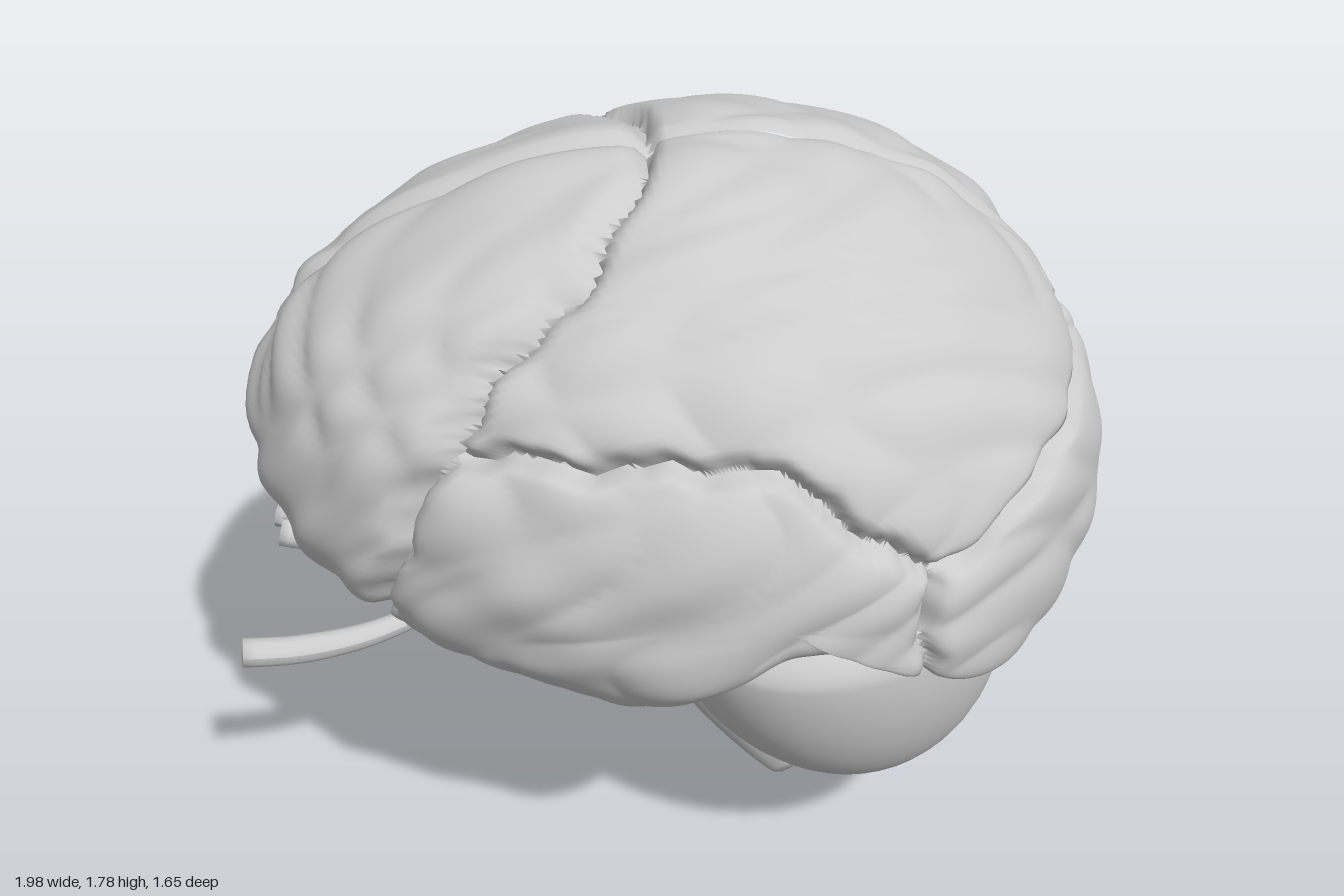
import * as THREE from 'three';
import { mergeVertices } from 'three/addons/utils/BufferGeometryUtils.js';

const grey = new THREE.MeshStandardMaterial({ color: 0xcccccc });
grey.name = 'grey';

// Local frame: +x is the back of the brain, +z its left side, MID the dividing plane.
const MID = 0.05, POLE_X = 0.2, POLE_Y = 1.04, HALF_WIDTH = 0.78;

// Side outline of a hemisphere, counterclockwise from the back
const OUTLINE = new THREE.CatmullRomCurve3([
  [0.97, 1.06], [0.92, 1.27], [0.79, 1.46], [0.6, 1.635], [0.36, 1.73], [0.1, 1.77], [-0.12, 1.745],
  [-0.4, 1.67], [-0.63, 1.56], [-0.83, 1.39], [-0.92, 1.17], [-0.88, 0.92], [-0.72, 0.78], [-0.45, 0.71],
  [-0.22, 0.66], [0.02, 0.74], [0.24, 0.87], [0.5, 0.84], [0.78, 0.71], [0.93, 0.83],
].map(([x, y]) => new THREE.Vector3(x, y, 0)), true);

// Furrows between the lobes, in side projection
const CENTRAL = [[0.01, 1.85], [-0.07, 1.73], [-0.26, 1.58], [-0.45, 1.38], [-0.55, 1.2], [-0.61, 1.0], [-0.65, 0.85], [-0.66, 0.6]];
const LATERAL = [[-0.47, 1.34], [-0.25, 1.35], [0.12, 1.37], [0.27, 1.3], [0.49, 1.12]];
const REAR_TOP = [[0.49, 1.12], [0.6, 1.155], [0.72, 1.215], [0.82, 1.28], [0.9, 1.34], [1.1, 1.4]];
const REAR_LOW = [[0.49, 1.12], [0.5, 0.95], [0.48, 0.6]];
const FURROWS = [CENTRAL, LATERAL, REAR_TOP, REAR_LOW];

// Value along a polyline: key axis k, result on the other axis
function along(line, value, k) {
  for (let i = 1; i < line.length; i++) {
    const a = line[i - 1], b = line[i];
    if ((value - a[k]) * (value - b[k]) <= 0) {
      return a[1 - k] + (b[1 - k] - a[1 - k]) * (value - a[k]) / (b[k] - a[k]);
    }
  }
  return line[line.length - 1][1 - k];
}

function furrowDistance(x, y) {
  let best = 9;
  for (const line of FURROWS) {
    for (let i = 1; i < line.length; i++) {
      const [ax, ay] = line[i - 1], dx = line[i][0] - ax, dy = line[i][1] - ay;
      const t = THREE.MathUtils.clamp(((x - ax) * dx + (y - ay) * dy) / (dx * dx + dy * dy), 0, 1);
      best = Math.min(best, Math.hypot(x - ax - t * dx, y - ay - t * dy));
    }
  }
  return best;
}

function lobeAt(x, y) {
  if (x < along(CENTRAL, y, 1)) return 'frontalLobe';
  if (x > along(REAR_LOW, y, 1) && x > 0.47 && y < along(REAR_TOP, Math.max(x, 0.49), 0)) return 'occipitalLobe';
  if (x < 0.49 && y < along(LATERAL, Math.max(x, -0.47), 0)) return 'temporalLobe';
  return 'parietalLobe';
}

// Soft wavy relief of the folds
function folds(x, y, z) {
  const soft = Math.sin(9 * x + 2 * Math.sin(6 * y)) * Math.sin(10 * y + 7 * z + Math.sin(8 * x));
  const ridge = Math.abs(Math.sin(11 * x + 8 * z + 2 * Math.sin(9 * y))) * Math.abs(Math.sin(13 * y - 6 * x + 3 * Math.sin(7 * z)));
  return 0.008 * soft + 0.018 * (ridge - 0.35);
}

const wobbleX = (x, y) => x + 0.01 * Math.sin(27 * y) + 0.004 * Math.sin(61 * y);
const wobbleY = (x, y) => y + 0.01 * Math.sin(25 * x) + 0.004 * Math.sin(57 * x);

// One hemisphere: a domed shell split into lobes along the furrows
function hemisphere(side) {
  const group = new THREE.Group();
  group.name = side > 0 ? 'leftHemisphere' : 'rightHemisphere';
  const NU = 240, NV = 72, grid = [], parts = {};
  for (let i = 0; i < NU; i++) {
    const o = OUTLINE.getPoint(i / NU), ox = o.x - POLE_X, oy = o.y - POLE_Y;
    const down = THREE.MathUtils.smoothstep(-oy / Math.hypot(ox, oy), 0.1, 0.9);
    const n = 2.03 + 1.1 * down;
    const row = [];
    for (let j = 0; j <= NV; j++) {
      let r = Math.sin(j / NV * Math.PI / 2);
      const z = HALF_WIDTH * Math.pow(Math.max(0, 1 - Math.pow(r, n)), 1 / n);
      r *= 1 - 0.2 * down * Math.max(0, 1 - z / 0.3) ** 2; // hollow beneath the middle
      const x = ox * r, y = oy * r, wx = POLE_X + x, wy = POLE_Y + y;
      const d = furrowDistance(wobbleX(wx, wy), wobbleY(wx, wy));
      const k = 1 + folds(wx + side * 0.3, wy, z) - 0.055 * Math.exp(-((d / 0.015) ** 2))
        - 0.012 * Math.exp(-((d / 0.045) ** 2)) - 0.03 * Math.exp(-((z / 0.02) ** 2));
      row.push({ x: wx, y: wy, p: [POLE_X + x * k, POLE_Y + y * k, MID + side * z * k] });
    }
    grid.push(row);
  }
  const addTriangle = (a, b, c) => {
    const x = (a.x + b.x + c.x) / 3, y = (a.y + b.y + c.y) / 3;
    const list = parts[lobeAt(wobbleX(x, y), wobbleY(x, y))] ??= [];
    list.push(...a.p, ...(side > 0 ? [...b.p, ...c.p] : [...c.p, ...b.p]));
  };
  for (let i = 0; i < NU; i++) {
    const a = grid[i], b = grid[(i + 1) % NU];
    for (let j = 0; j < NV; j++) {
      addTriangle(a[j], a[j + 1], b[j + 1]);
      if (j > 0) addTriangle(a[j], b[j + 1], b[j]);
    }
  }
  for (const [name, list] of Object.entries(parts)) {
    let geo = new THREE.BufferGeometry();
    geo.setAttribute('position', new THREE.Float32BufferAttribute(list, 3));
    geo = mergeVertices(geo, 1e-5);
    geo.computeVertexNormals();
    const mesh = new THREE.Mesh(geo, grey);
    mesh.name = name;
    group.add(mesh);
  }
  return group;
}

// Bowl-shaped cerebellum half, swept forward at the side and flattened against the middle
function cerebellum(side) {
  const geo = new THREE.SphereGeometry(1, 40, 28), p = geo.attributes.position;
  for (let i = 0; i < p.count; i++) {
    const y = p.getY(i), z = p.getZ(i), low = Math.max(0, -y);
    const x = 0.365 + p.getX(i) * 0.39 + low * 0.1 - 0.08 * z;
    const out = Math.max(0, 0.28 + z * 0.36 - low * 0.06);
    const ripple = 0.005 * Math.sin(9 * x + 14 * out);
    p.setXYZ(i, x, 0.77 + y * (y < 0 ? 0.51 : 0.18) + ripple, MID + side * out);
  }
  if (side < 0) {
    const a = geo.index.array;
    for (let i = 0; i < a.length; i += 3) [a[i], a[i + 1]] = [a[i + 1], a[i]];
  }
  geo.computeVertexNormals();
  const mesh = new THREE.Mesh(geo, grey);
  mesh.name = side > 0 ? 'leftCerebellum' : 'rightCerebellum';
  return mesh;
}

// Tube whose thickness follows a list of radii, with flat closed ends
function taperedTube(name, points, radii, sides = 12) {
  const curve = new THREE.CatmullRomCurve3(points.map((q) => new THREE.Vector3(...q)));
  const N = 30, geo = new THREE.TubeGeometry(curve, N, 1, sides), p = geo.attributes.position;
  const v = new THREE.Vector3();
  for (let i = 0; i <= N; i++) {
    const c = curve.getPointAt(THREE.MathUtils.clamp(i, 1, N - 1) / N);
    const f = i / N * (radii.length - 1), k = Math.min(Math.floor(f), radii.length - 2);
    const r = i === 0 || i === N ? 0 : THREE.MathUtils.lerp(radii[k], radii[k + 1], f - k);
    for (let j = 0; j <= sides; j++) {
      const id = i * (sides + 1) + j;
      v.fromBufferAttribute(p, id).sub(c).multiplyScalar(r).add(c);
      p.setXYZ(id, v.x, v.y, v.z);
    }
  }
  geo.computeVertexNormals();
  const mesh = new THREE.Mesh(geo, grey);
  mesh.name = name;
  return mesh;
}

function ellipsoid(name, center, size) {
  const mesh = new THREE.Mesh(new THREE.SphereGeometry(1, 24, 16), grey);
  mesh.name = name;
  mesh.position.set(...center);
  mesh.scale.set(...size);
  return mesh;
}

export function createModel() {
  const model = new THREE.Group();
  model.name = 'brain';
  const brain = new THREE.Group();
  brain.name = 'turnedBrain';
  brain.rotation.y = 0.41;
  model.add(brain);

  for (const side of [1, -1]) {
    const tag = side > 0 ? 'left' : 'right';
    const at = (x, y, z) => [x, y, MID + side * z];
    brain.add(hemisphere(side), cerebellum(side));
    // nerves beneath the frontal lobes
    brain.add(taperedTube(tag + 'OpticNerve',
      [at(-0.15, 0.82, 0.02), at(-0.32, 0.74, 0.05), at(-0.48, 0.66, 0.1), at(-0.68, 0.61, 0.19), at(-0.85, 0.61, 0.25), at(-1.01, 0.63, 0.285)],
      [0.045, 0.035, 0.027, 0.027, 0.033, 0.034]));
    brain.add(taperedTube(tag + 'OlfactoryTract',
      [at(-0.3, 0.78, 0.1), at(-0.55, 0.765, 0.08), at(-0.75, 0.78, 0.07), at(-0.92, 0.82, 0.07)],
      [0.02, 0.022, 0.03, 0.035]));
  }

  // brainstem
  brain.add(ellipsoid('midbrain', [0.05, 0.78, MID], [0.21, 0.2, 0.21]));
  brain.add(ellipsoid('pons', [-0.02, 0.6, MID], [0.19, 0.18, 0.2]));
  brain.add(taperedTube('medulla',
    [[0.0, 0.56, MID], [0.08, 0.42, MID], [0.17, 0.25, MID], [0.26, 0.11, MID], [0.33, 0.02, MID]],
    [0.15, 0.13, 0.108, 0.09, 0.073], 16));
  return model;
}
